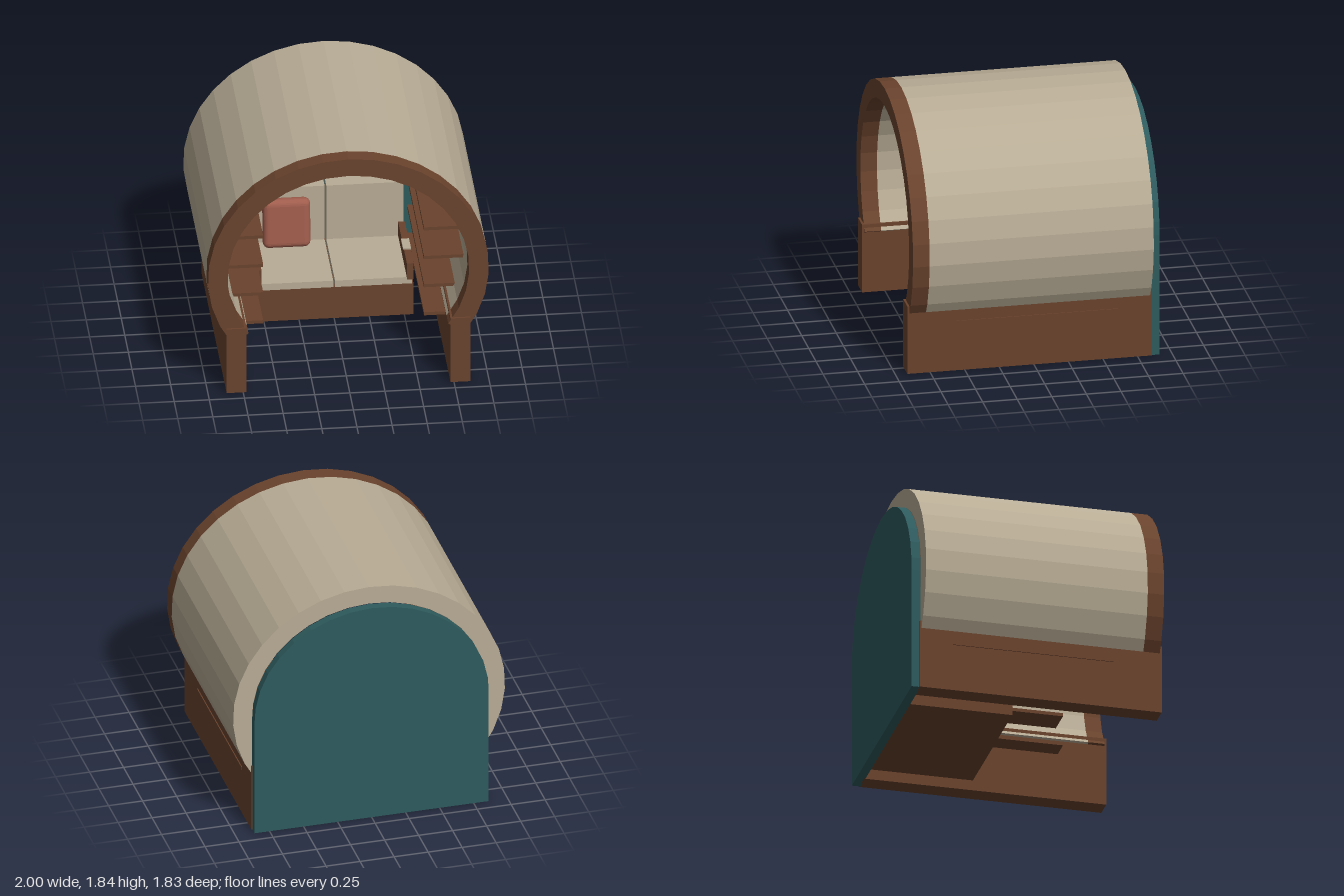
import * as THREE from 'three';
import { RoundedBoxGeometry } from 'three/addons/geometries/RoundedBoxGeometry.js';

const CY = 0.911;                        // height of the arch centre
const STEP = THREE.MathUtils.degToRad(10.36);

// Points of a faceted elliptical arch, counted in steps either side of the top
function archPoints(rx, ry, steps) {
  const pts = [];
  for (let i = -steps; i <= steps; i++) {
    pts.push(new THREE.Vector2(rx * Math.sin(i * STEP), CY + ry * Math.cos(i * STEP)));
  }
  return pts;
}

function extrude(points, z0, z1) {
  const g = new THREE.ExtrudeGeometry(new THREE.Shape(points), { depth: z1 - z0, bevelEnabled: false });
  return g.translate(0, 0, z0);
}

export function createModel() {
  const root = new THREE.Group();
  root.name = 'archedPod';

  const material = (name, color) => {
    const m = new THREE.MeshStandardMaterial({ color, flatShading: true });
    m.name = name;
    return m;
  };
  const wood = material('walnutBrown', 0x6a432d);
  const beige = material('warmBeige', 0xb8ac95);
  const teal = material('deepTeal', 0x2e5b5e);
  const red = material('terracotta', 0xa05d4d);

  const add = (name, geometry, mat) => {
    const mesh = new THREE.Mesh(geometry, mat);
    mesh.name = name;
    root.add(mesh);
    return mesh;
  };
  // Box given by its lower and upper limits on each axis
  const box = (name, mat, x0, x1, y0, y1, z0, z1) => {
    const g = new THREE.BoxGeometry(x1 - x0, y1 - y0, z1 - z0);
    return add(name, g.translate((x0 + x1) / 2, (y0 + y1) / 2, (z0 + z1) / 2), mat);
  };
  // The same box on both sides
  const pair = (name, mat, x0, x1, ...rest) => {
    box(name + 'Left', mat, x0, x1, ...rest);
    box(name + 'Right', mat, -x1, -x0, ...rest);
  };

  // Arched roof with a wooden front rim
  const ring = [...archPoints(1, 0.924, 12), ...archPoints(0.86, 0.79, 12).reverse()];
  add('roofShell', extrude(ring, -0.84, 0.78), beige);
  add('frontRim', extrude(ring, 0.78, 0.9), wood);

  // Back wall: straight sides below, arch above
  const wall = archPoints(0.86, 0.79, 8);
  wall.unshift(new THREE.Vector2(-0.86, 0), new THREE.Vector2(-0.86, CY));
  wall.push(new THREE.Vector2(0.86, CY), new THREE.Vector2(0.86, 0));
  add('backWall', extrude(wall, -0.91, -0.845), teal);

  // Low side walls and the shelves above them
  pair('sideWall', wood, 0.725, 0.868, 0, 0.515, -0.855, 0.915);
  [0.353, 0.58, 0.808, 1.04].forEach((y, i) => {
    pair('shelf' + (i + 1), wood, 0.572, 0.875, y, y + 0.025, -0.61, 0.56);
  });

  // Sofa: base, split seat and back cushions, armrests
  box('sofaBase', wood, -0.565, 0.565, 0, 0.25, -0.845, -0.1);
  pair('seatCushion', beige, 0.006, 0.555, 0.25, 0.302, -0.84, -0.1);
  pair('backCushion', beige, 0.006, 0.555, 0.302, 0.735, -0.84, -0.71);
  pair('armrest', wood, 0.517, 0.565, 0.285, 0.415, -0.71, -0.095);

  // Small tray on the left armrest
  box('trayFoot', beige, 0.53, 0.56, 0.415, 0.425, -0.4, -0.3);
  box('tray', beige, 0.508, 0.565, 0.425, 0.438, -0.42, -0.28);

  // Leaning pillow
  const pillow = add('pillow', new RoundedBoxGeometry(0.34, 0.37, 0.1, 3, 0.045), red);
  pillow.position.set(-0.285, 0.49, -0.645);
  pillow.rotation.x = -0.1;

  // Ceiling lamp
  box('lampRod', beige, -0.012, 0.012, 1.675, 1.705, -0.012, 0.012);
  box('lampBody', beige, -0.2, 0.2, 1.59, 1.678, -0.1, 0.1);
  box('lampDiffuser', beige, -0.168, 0.168, 1.578, 1.59, -0.08, 0.08);

  return root;
}
